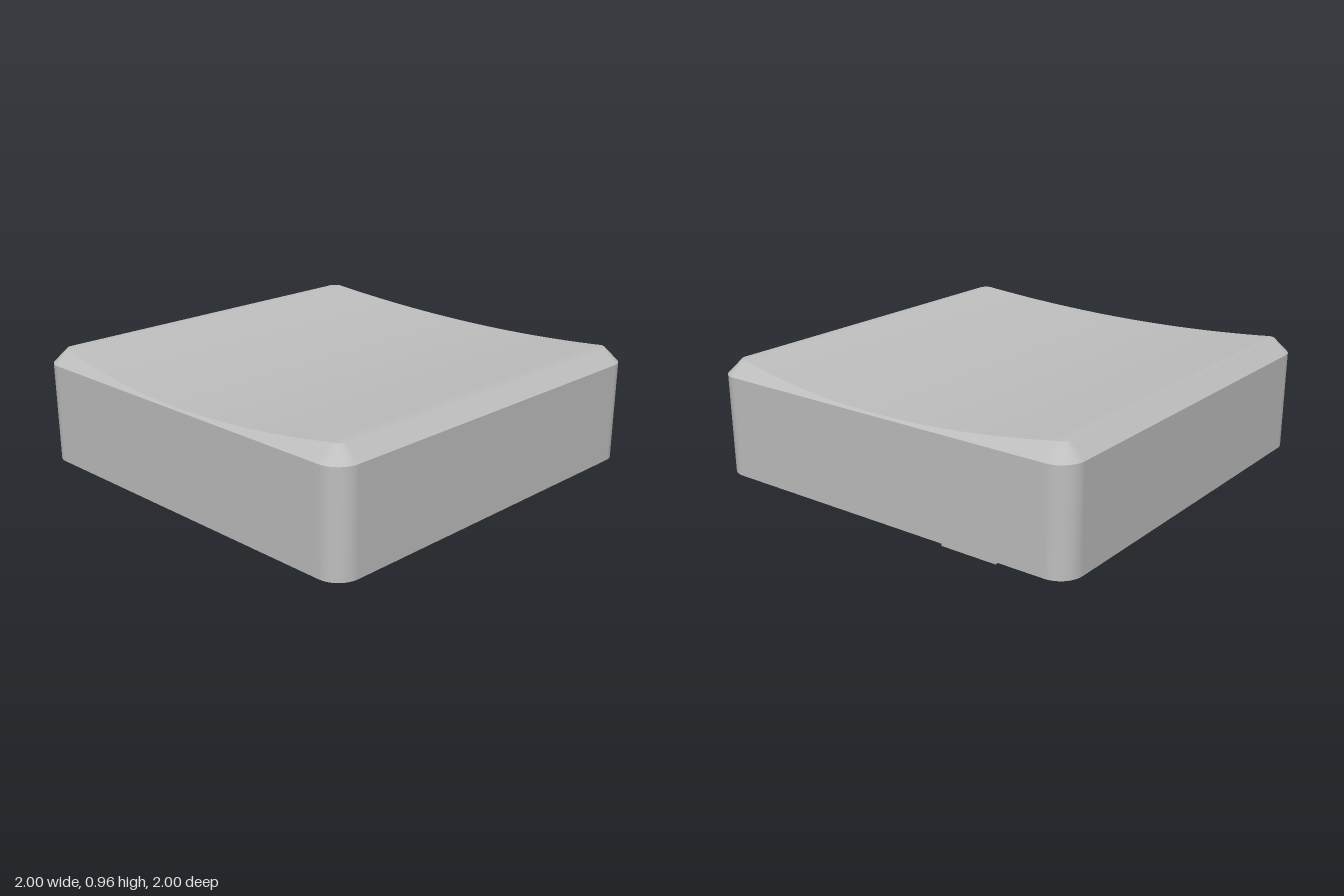
import * as THREE from 'three';

const R = 0.11;                  // outer corner radius
const BASE = 0.4, SHOULDER = 0.89, CROWN = 0.96;
const INNER = 0.89, CEILING = 0.78;

// Height of the scooped top: a shallow trough along x, level near front and back
const dish = z => Math.min(CROWN, 0.9 + 0.06 * (z / 0.89) ** 2);

// Right half of the rounded square, front to back, as corner centre + direction
function halfOutline() {
  const pts = [], arc = 10, side = 40, c = 1 - R;
  for (let i = 0; i <= arc; i++) {
    const a = (1 - i / arc) * Math.PI / 2;
    pts.push([c, c, Math.cos(a), Math.sin(a)]);
  }
  for (let i = 1; i < side; i++) pts.push([c, c * (1 - 2 * i / side), 1, 0]);
  for (let i = 0; i <= arc; i++) {
    const a = -i / arc * Math.PI / 2;
    pts.push([c, -c, Math.cos(a), Math.sin(a)]);
  }
  return pts;
}

const insetPoint = ([cx, cz, dx, dz], d, y) =>
  new THREE.Vector3(cx + dx * (R - d), y, cz + dz * (R - d));

const mirror = pts => pts.map(p => new THREE.Vector3(-p.x, p.y, p.z));
const fullLoop = pts => [...pts, ...mirror(pts).reverse()];

// Smooth strip of quads between two matching rows of points
function strip(a, b, closed) {
  const n = a.length, index = [];
  for (let i = 0; i < (closed ? n : n - 1); i++) {
    const j = (i + 1) % n;
    index.push(i, j, n + j, i, n + j, n + i);
  }
  const geo = new THREE.BufferGeometry().setFromPoints([...a, ...b]);
  geo.setIndex(index);
  geo.computeVertexNormals();
  return geo;
}

export function createModel() {
  const group = new THREE.Group();
  const grey = new THREE.MeshStandardMaterial({ color: 0xbfbfbf });
  grey.name = 'grey plastic';

  const add = (name, geo, x = 0, y = 0, z = 0) => {
    const mesh = new THREE.Mesh(geo, grey);
    mesh.name = name;
    mesh.position.set(x, y, z);
    group.add(mesh);
    return mesh;
  };

  // Outer skirt, chamfer and scooped top; the chamfer ends where it meets the dish
  const half = halfOutline();
  const low = half.map(p => insetPoint(p, 0, BASE));
  const shoulder = half.map(p => insetPoint(p, 0, SHOULDER));
  const edge = half.map(p => {
    let d = 0.07;
    for (let k = 0; k < 8; k++) d = dish(insetPoint(p, d, 0).z) - SHOULDER;
    return insetPoint(p, d, SHOULDER + d);
  });
  add('skirt', strip(fullLoop(low), fullLoop(shoulder), true));
  add('chamfer', strip(fullLoop(shoulder), fullLoop(edge), true));
  add('scoopedTop', strip(edge, mirror(edge), false));

  // Bottom rim around the square cavity
  const rim = new THREE.Shape(fullLoop(low).map(p => new THREE.Vector2(p.x, p.z)));
  rim.holes.push(new THREE.Path([[-1, -1], [-1, 1], [1, 1], [1, -1]]
    .map(([x, y]) => new THREE.Vector2(x * INNER, y * INNER))));
  add('bottomRim', new THREE.ShapeGeometry(rim).rotateX(Math.PI / 2), 0, BASE);

  // Cavity walls and ceiling
  const depth = CEILING - BASE;
  for (let k = 0; k < 4; k++) {
    const wall = new THREE.PlaneGeometry(2 * INNER, depth).translate(0, 0, -INNER);
    add('cavityWall', wall.rotateY(k * Math.PI / 2), 0, BASE + depth / 2);
  }
  add('cavityCeiling', new THREE.PlaneGeometry(2 * INNER, 2 * INNER).rotateX(Math.PI / 2), 0, CEILING);

  // Stem block with two prongs
  add('stemBlock', new THREE.BoxGeometry(0.85, CEILING - 0.34, 0.4), 0, (CEILING + 0.34) / 2);
  for (const s of [-1, 1]) {
    add(s > 0 ? 'leftProng' : 'rightProng', new THREE.BoxGeometry(0.135, 0.34, 0.34), s * 0.322, 0.17);
  }
  return group;
}
